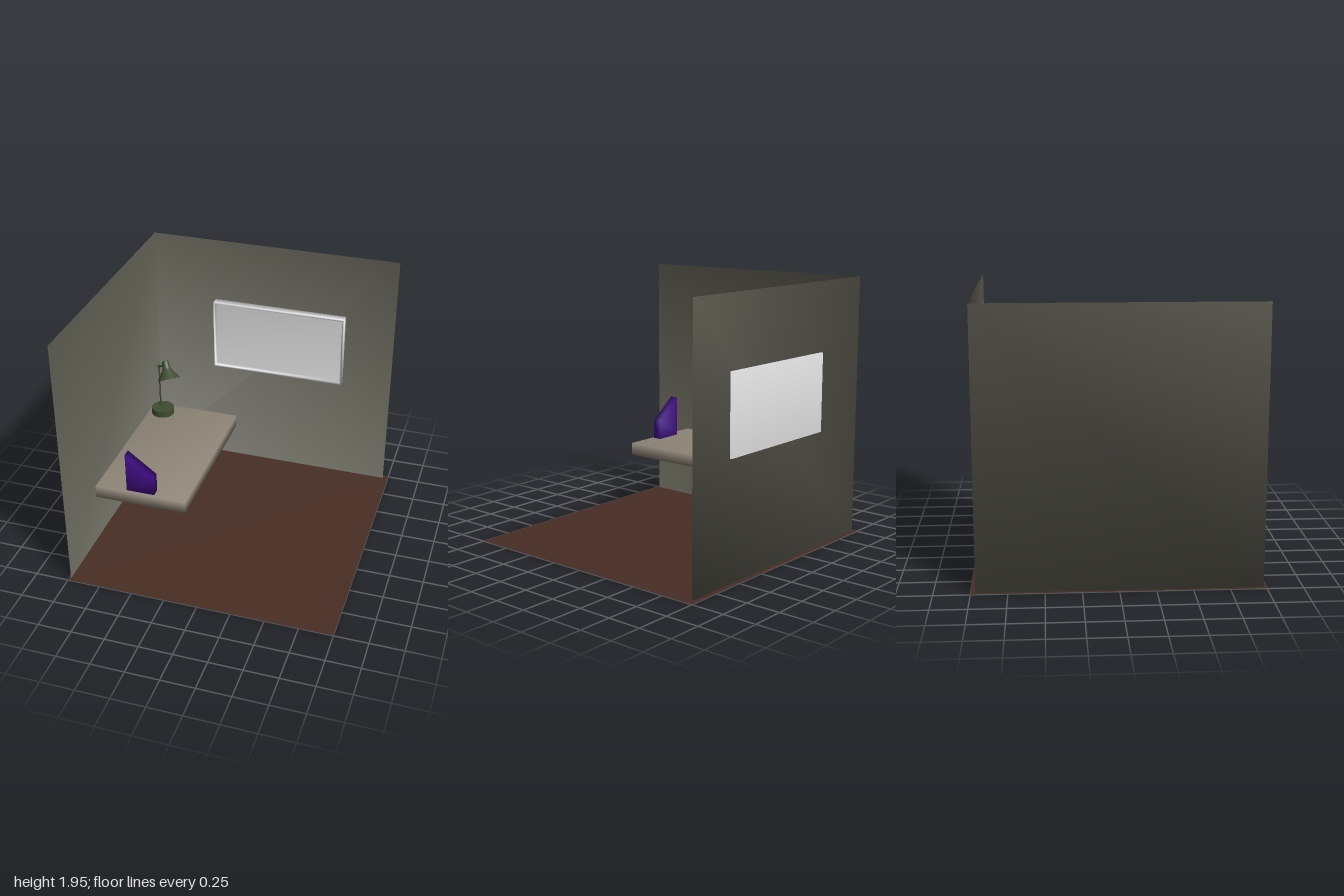
import * as THREE from 'three';

const mat = (name, color, side = THREE.FrontSide) => {
  const m = new THREE.MeshStandardMaterial({ color, side });
  m.name = name;
  return m;
};

function smoothGeometry(points, index) {
  const g = new THREE.BufferGeometry();
  g.setAttribute('position', new THREE.Float32BufferAttribute(points.flat(), 3));
  g.setIndex(index);
  g.computeVertexNormals();
  return g;
}

// Closed solid through four-cornered loops, ordered back to front, with shared (soft) corners
function loft(loops) {
  const index = [0, 2, 1, 0, 3, 2];
  for (let k = 0; k < loops.length - 1; k++) {
    for (let i = 0; i < 4; i++) {
      const a = k * 4 + i, b = k * 4 + (i + 1) % 4;
      index.push(a, b, b + 4, a, b + 4, a + 4);
    }
  }
  const e = (loops.length - 1) * 4;
  index.push(e, e + 1, e + 2, e, e + 2, e + 3);
  return smoothGeometry(loops.flat(), index);
}
const rect = (x0, x1, y0, y1, z) => [[x0, y0, z], [x1, y0, z], [x1, y1, z], [x0, y1, z]];

export function createModel() {
  const wall = mat('wall grey', 0x5f5e53, THREE.DoubleSide);
  const brown = mat('floor brown', 0x482e25, THREE.DoubleSide);
  const white = mat('window white', 0xe6e6e6);
  const stone = mat('desk grey', 0x8f8678);
  const purple = mat('file purple', 0x420c86);
  const green = mat('lamp green', 0x3f4d33, THREE.DoubleSide);

  const model = new THREE.Group();
  model.name = 'roomCorner';
  const add = (name, geometry, material, parent = model) => {
    const mesh = new THREE.Mesh(geometry, material);
    mesh.name = name;
    parent.add(mesh);
    return mesh;
  };

  // Room: back wall, side wall and underside sharing one corner
  const x0 = -0.983, x1 = 0.96, z0 = -0.967, z1 = 0.98, h = 1.947;
  add('walls', smoothGeometry(
    [[x0, 0, z0], [x1, 0, z0], [x1, h, z0], [x0, h, z0], [x0, 0, z1], [x0, h, z1], [x1, 0, z1]],
    [0, 1, 2, 0, 2, 3, 4, 0, 3, 4, 3, 5, 4, 6, 1, 4, 1, 0]), wall);

  const floor = add('floor', new THREE.PlaneGeometry(2, 2), brown);
  floor.rotation.x = -Math.PI / 2;
  floor.position.y = 0.004;

  // Window: box through the wall with a recessed pane
  const pane = (inset, z) => rect(-0.485 + inset, 0.575 - inset, 0.867 + inset, 1.443 - inset, z);
  add('window', loft([pane(0, -0.982), pane(0, -0.905), pane(0.015, -0.905), pane(0.02, -0.935)]), white);

  // Floating desk top
  add('desk', loft([rect(-0.908, -0.213, 0.5, 0.595, -0.635), rect(-0.908, -0.213, 0.5, 0.595, 0.603)]), stone);

  // Slanted file on the desk
  const slanted = z => [[-0.67, 0.597, z], [-0.457, 0.597, z], [-0.457, 0.742, z], [-0.67, 0.905, z]];
  add('file', loft([slanted(0.518), slanted(0.583)]), purple);

  // Desk lamp
  const lamp = new THREE.Group();
  lamp.name = 'lamp';
  model.add(lamp);
  const V = (x, y, z) => new THREE.Vector3(x, y, z);
  const rod = (name, a, b, r) => {
    const m = add(name, new THREE.CylinderGeometry(r, r, a.distanceTo(b), 12), green, lamp);
    m.position.copy(a).lerp(b, 0.5);
    m.quaternion.setFromUnitVectors(V(0, 1, 0), b.clone().sub(a).normalize());
    return m;
  };
  rod('base', V(-0.795, 0.595, -0.515), V(-0.795, 0.646, -0.515), 0.089)
    .geometry = new THREE.CylinderGeometry(0.089, 0.089, 0.051, 32);
  const elbow = V(-0.825, 1.0, -0.545), neck = V(-0.725, 1.08, -0.425);
  rod('socket', V(-0.825, 0.64, -0.545), V(-0.825, 0.672, -0.545), 0.011);
  rod('post', V(-0.825, 0.64, -0.545), elbow, 0.006);
  rod('arm', elbow, neck, 0.006);
  add('joint', new THREE.SphereGeometry(0.014, 16, 12), green, lamp).position.copy(elbow);

  // Shade: closed cap flaring to an open mouth, tilted away from the post
  const mouth = V(-0.681, 0.998, -0.377), cap = V(-0.732, 1.122, -0.437);
  const length = mouth.distanceTo(cap);
  const profile = [[0, length], [0.02, length], [0.027, length - 0.008], [0.031, 0.09], [0.036, 0.078],
    [0.062, 0.038], [0.083, 0.01], [0.089, 0]].map(p => new THREE.Vector2(...p)).reverse();
  const shade = add('shade', new THREE.LatheGeometry(profile, 32), green, lamp);
  shade.position.copy(mouth);
  shade.quaternion.setFromUnitVectors(V(0, 1, 0), cap.clone().sub(mouth).normalize());

  return model;
}
